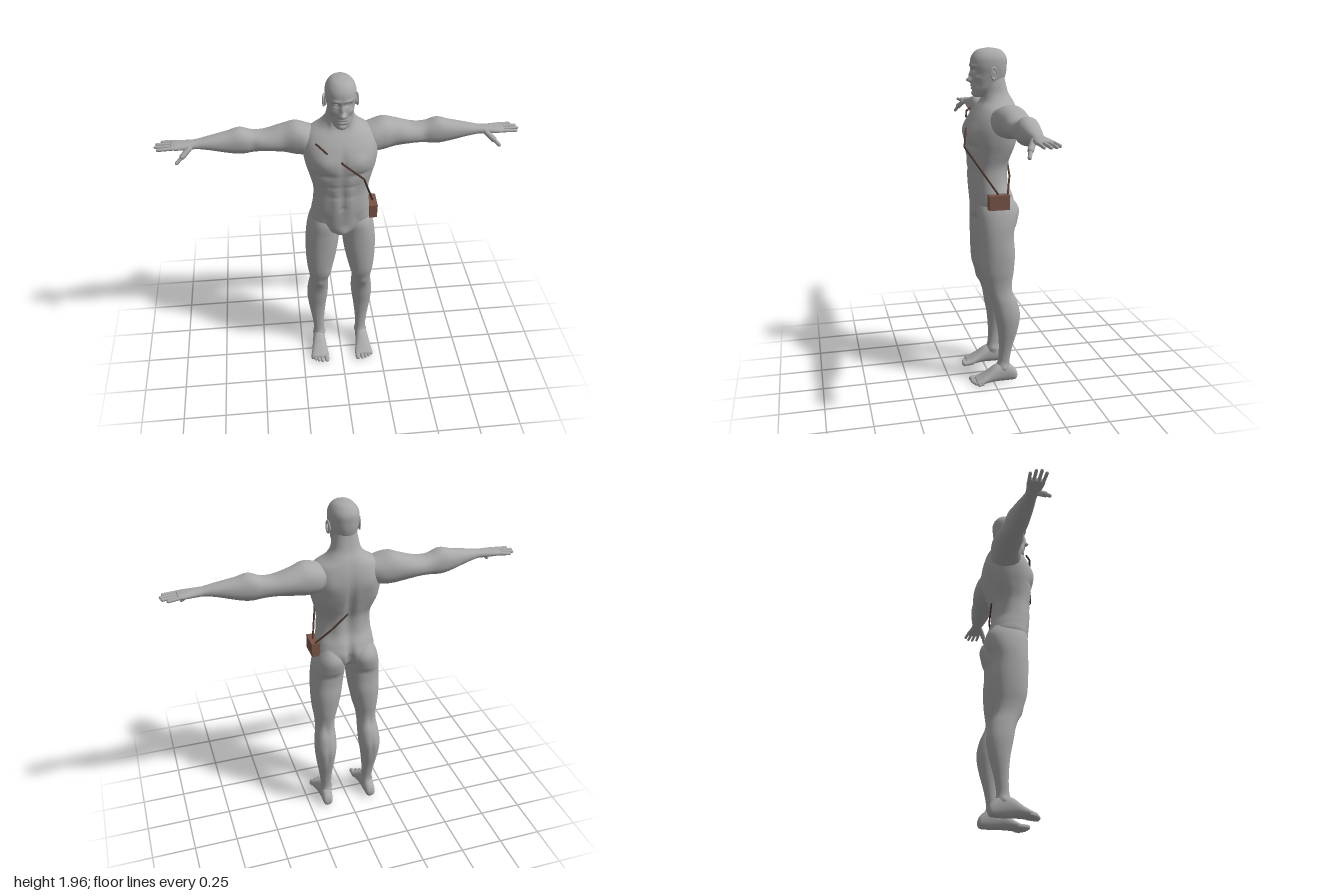
import * as THREE from 'three';

const skin = new THREE.MeshStandardMaterial({ color: 0xa9a9a9 });
skin.name = 'grey skin';
const leather = new THREE.MeshStandardMaterial({ color: 0x795548 });
leather.name = 'brown leather';
const strapBrown = new THREE.MeshStandardMaterial({ color: 0x4e3a32 });
strapBrown.name = 'dark strap';

// Catmull-Rom blend of four values
const blend = (a, b, c, d, t) =>
  0.5 * (2 * b + (c - a) * t + (2 * a - 5 * b + 4 * c - d) * t * t + (3 * b - a - 3 * c + d) * t * t * t);

// Axis layouts: rows run along y, x or z
const alongY = (t, a, b) => [a, t, b];
const alongX = (t, a, b) => [t, b, a];
const alongZ = (t, a, b) => [b, a, t];

// Closed smooth loft through rows [t, aMin, aMax, bMin, bMax], with rounded sections of power p
function loft(rows, place, { sides = 40, steps = 5, p = 2.2 } = {}) {
  const pos = [], index = [], n = (rows.length - 1) * steps;
  const at = (i) => rows[Math.min(Math.max(i, 0), rows.length - 1)];
  const round = (v) => Math.sign(v) * Math.abs(v) ** (2 / p);
  const mids = [];
  for (let j = 0; j <= n; j++) {
    const k = Math.min(Math.floor(j / steps), rows.length - 2), f = j / steps - k;
    const [t, a0, a1, b0, b1] = rows[0].map((_, c) => blend(at(k - 1)[c], at(k)[c], at(k + 1)[c], at(k + 2)[c], f));
    mids.push([t, (a0 + a1) / 2, (b0 + b1) / 2]);
    for (let i = 0; i < sides; i++) {
      const th = (i / sides) * Math.PI * 2;
      pos.push(...place(t, (a0 + a1) / 2 + (a1 - a0) / 2 * round(Math.cos(th)),
        (b0 + b1) / 2 + (b1 - b0) / 2 * round(Math.sin(th))));
    }
  }
  pos.push(...place(...mids[0]), ...place(...mids[n]));
  const first = (n + 1) * sides;
  for (let i = 0; i < sides; i++) {
    const q = (i + 1) % sides;
    for (let j = 0; j < n; j++) {
      const a = j * sides + i, b = j * sides + q;
      index.push(a, a + sides, b, b, a + sides, b + sides);
    }
    index.push(first, i, q, first + 1, n * sides + q, n * sides + i);
  }
  const g = new THREE.BufferGeometry();
  g.setAttribute('position', new THREE.Float32BufferAttribute(pos, 3));
  g.setIndex(index);
  g.computeVertexNormals();
  return g;
}

// Push the surface along its normals with symmetric soft bumps [x, y, z, sx, sy, sz, amount]
function sculpt(g, bumps) {
  const P = g.attributes.position, N = g.attributes.normal;
  for (let i = 0; i < P.count; i++) {
    const x = P.getX(i), y = P.getY(i), z = P.getZ(i);
    let d = 0;
    for (const [bx, by, bz, sx, sy, sz, amt] of bumps)
      d += amt * Math.exp(-(((Math.abs(x) - bx) / sx) ** 2) - ((y - by) / sy) ** 2 - ((z - bz) / sz) ** 2);
    P.setXYZ(i, x + N.getX(i) * d, y + N.getY(i) * d, z + N.getZ(i) * d);
  }
  g.computeVertexNormals();
  return g;
}

function mirrored(g) {
  const m = g.clone().scale(-1, 1, 1), ix = m.index.array;
  for (let i = 0; i < ix.length; i += 3) [ix[i], ix[i + 1]] = [ix[i + 1], ix[i]];
  m.computeVertexNormals();
  return m;
}

// Rounded rod between two points
function rod(p0, p1, r) {
  const a = new THREE.Vector3(...p0), b = new THREE.Vector3(...p1), d = b.clone().sub(a);
  const g = new THREE.CapsuleGeometry(r, d.length(), 5, 12);
  g.applyQuaternion(new THREE.Quaternion().setFromUnitVectors(new THREE.Vector3(0, 1, 0), d.normalize()));
  return g.translate(...a.add(b).multiplyScalar(0.5).toArray());
}

const ball = (x, y, z, rx, ry, rz) => new THREE.SphereGeometry(1, 20, 14).scale(rx, ry, rz).translate(x, y, z);

export function createModel() {
  const model = new THREE.Group();
  model.name = 'figure';
  const add = (name, geo, mat = skin) => {
    const m = new THREE.Mesh(geo, mat);
    m.name = name;
    model.add(m);
  };
  const pair = (name, geo) => {
    add('left ' + name, geo);
    add('right ' + name, mirrored(geo));
  };

  // Torso and neck: [y, half width, back z, front z]
  const torso = [
    [0.985, 0.04, -0.07, 0.06], [1.02, 0.11, -0.125, 0.09], [1.08, 0.168, -0.146, 0.102],
    [1.14, 0.167, -0.13, 0.107], [1.21, 0.158, -0.1, 0.11], [1.3, 0.155, -0.1, 0.112],
    [1.38, 0.174, -0.128, 0.122], [1.45, 0.194, -0.15, 0.13], [1.52, 0.205, -0.163, 0.124],
    [1.58, 0.2, -0.163, 0.103], [1.63, 0.175, -0.153, 0.07], [1.67, 0.115, -0.138, 0.04],
    [1.71, 0.082, -0.115, 0.03], [1.76, 0.07, -0.1, 0.03], [1.81, 0.06, -0.09, 0.03],
  ].map(([y, w, b, f]) => [y, -w, w, b, f]);
  add('torso', sculpt(loft(torso, alongY, { sides: 96, steps: 7, p: 2.3 }), [
    [0.09, 1.5, 0.11, 0.06, 0.05, 0.06, 0.014], // chest
    [0, 1.5, 0.12, 0.012, 0.07, 0.05, -0.008],
    [0.09, 1.425, 0.11, 0.06, 0.018, 0.06, -0.008],
    [0, 1.28, 0.11, 0.01, 0.11, 0.05, -0.006], // belly
    [0.04, 1.27, 0.11, 0.022, 0.12, 0.05, 0.006],
    [0.045, 1.35, 0.11, 0.04, 0.008, 0.05, -0.005],
    [0.045, 1.28, 0.11, 0.04, 0.008, 0.05, -0.005],
    [0, 1.2, 0.11, 0.01, 0.01, 0.04, -0.008],
    [0.09, 1.1, 0.09, 0.03, 0.05, 0.05, -0.008],
    [0, 1.03, 0.08, 0.03, 0.035, 0.05, 0.016],
    [0, 1.36, -0.14, 0.02, 0.19, 0.06, -0.018], // back
    [0.06, 1.25, -0.1, 0.03, 0.09, 0.05, 0.008],
    [0.11, 1.53, -0.15, 0.05, 0.06, 0.05, 0.008],
    [0.15, 1.42, -0.1, 0.04, 0.08, 0.06, 0.01],
    [0, 1.06, -0.14, 0.02, 0.07, 0.06, -0.03],
    [0.05, 1.71, 0.01, 0.015, 0.05, 0.04, 0.006],
  ]));

  // Head: [y, half width, back z, front z]
  const head = [
    [1.69, 0.025, 0.02, 0.075], [1.705, 0.043, -0.02, 0.088], [1.74, 0.061, -0.06, 0.094],
    [1.78, 0.069, -0.088, 0.096], [1.82, 0.076, -0.101, 0.096], [1.86, 0.082, -0.105, 0.101],
    [1.9, 0.08, -0.105, 0.098], [1.93, 0.066, -0.09, 0.082], [1.95, 0.043, -0.065, 0.055], [1.96, 0.006, -0.01, 0.002],
  ].map(([y, w, b, f]) => [y, -w, w, b, f]);
  add('head', sculpt(loft(head, alongY, { sides: 112, steps: 9 }), [
    [0, 1.785, 0.1, 0.013, 0.014, 0.06, 0.028], // nose
    [0, 1.815, 0.1, 0.01, 0.02, 0.06, 0.014],
    [0.013, 1.78, 0.1, 0.007, 0.008, 0.04, 0.007],
    [0.032, 1.84, 0.09, 0.017, 0.012, 0.04, -0.014], // eye sockets and brows
    [0.032, 1.863, 0.095, 0.026, 0.008, 0.04, 0.006],
    [0.045, 1.8, 0.08, 0.016, 0.014, 0.04, 0.005],
    [0.045, 1.76, 0.07, 0.015, 0.02, 0.04, -0.006],
    [0, 1.753, 0.095, 0.02, 0.006, 0.04, 0.006], // lips and chin
    [0, 1.746, 0.095, 0.024, 0.003, 0.04, -0.006],
    [0, 1.739, 0.095, 0.018, 0.006, 0.04, 0.006],
    [0, 1.725, 0.095, 0.02, 0.006, 0.04, -0.004],
    [0, 1.708, 0.088, 0.02, 0.012, 0.04, 0.006],
  ]));
  pair('eye', ball(0.032, 1.84, 0.071, 0.013, 0.009, 0.012));
  pair('ear', ball(0.081, 1.822, -0.012, 0.008, 0.03, 0.017).rotateX(0));
  pair('ear rim', new THREE.TorusGeometry(0.017, 0.005, 8, 24).scale(1, 1.75, 1)
    .rotateY(Math.PI / 2 + 0.25).translate(0.088, 1.823, -0.013));

  // Arm: [x, back z, front z, bottom y, top y]
  const arm = [
    [0.09, -0.12, 0.0, 1.53, 1.625], [0.17, -0.152, 0.03, 1.49, 1.65], [0.24, -0.16, 0.018, 1.485, 1.667],
    [0.31, -0.158, -0.004, 1.496, 1.647], [0.4, -0.152, -0.01, 1.508, 1.62], [0.47, -0.142, -0.014, 1.505, 1.622],
    [0.54, -0.138, -0.012, 1.497, 1.645], [0.61, -0.128, -0.014, 1.51, 1.628], [0.7, -0.108, -0.018, 1.535, 1.611],
    [0.77, -0.092, -0.024, 1.549, 1.597], [0.82, -0.095, -0.018, 1.55, 1.592], [0.88, -0.106, -0.011, 1.554, 1.588],
    [0.91, -0.106, -0.014, 1.561, 1.583],
  ];
  pair('arm', sculpt(loft(arm, alongX, { sides: 48 }), [
    [0.36, 1.56, -0.01, 0.06, 0.04, 0.04, 0.007],
    [0.33, 1.58, -0.16, 0.07, 0.04, 0.04, 0.006],
    [0.47, 1.57, -0.01, 0.025, 0.05, 0.05, -0.006],
  ]));
  const fingers = [[-0.097, -0.107, 0.958], [-0.073, -0.082, 0.985], [-0.047, -0.054, 0.991], [-0.022, -0.024, 0.977]];
  fingers.forEach(([z0, z1, x], i) => pair('finger ' + (i + 1), rod([0.885, 1.572, z0], [x, 1.567, z1], 0.009)));
  pair('thumb base', rod([0.81, 1.567, -0.025], [0.85, 1.533, 0.0], 0.016));
  pair('thumb', rod([0.85, 1.533, 0.0], [0.882, 1.503, 0.014], 0.01));

  // Leg: [y, inner x, outer x, back z, front z]
  const leg = [
    [0.03, 0.108, 0.168, -0.12, -0.01], [0.08, 0.102, 0.17, -0.11, -0.01], [0.13, 0.103, 0.167, -0.1, -0.03],
    [0.22, 0.1, 0.178, -0.115, -0.035], [0.33, 0.088, 0.196, -0.145, -0.027], [0.42, 0.076, 0.204, -0.159, -0.01],
    [0.5, 0.073, 0.198, -0.145, 0.005], [0.57, 0.075, 0.188, -0.12, 0.03], [0.63, 0.068, 0.19, -0.115, 0.052],
    [0.7, 0.05, 0.2, -0.123, 0.072], [0.8, 0.028, 0.207, -0.13, 0.08], [0.9, 0.013, 0.206, -0.125, 0.083],
    [0.98, 0.006, 0.2, -0.142, 0.085], [1.06, 0.012, 0.182, -0.15, 0.085], [1.13, 0.04, 0.15, -0.11, 0.06],
  ];
  pair('leg', sculpt(loft(leg, alongY, { sides: 48 }), [
    [0.09, 1.05, -0.14, 0.05, 0.06, 0.05, 0.008], // buttock and fold
    [0.1, 0.945, -0.13, 0.07, 0.02, 0.04, -0.008],
    [0.13, 0.59, 0.03, 0.025, 0.03, 0.03, 0.008], // kneecap
    [0.14, 0.58, -0.12, 0.02, 0.05, 0.03, -0.008],
    [0.08, 0.67, 0.04, 0.03, 0.04, 0.04, 0.007],
    [0.14, 0.4, -0.16, 0.012, 0.08, 0.03, -0.006],
    [0.1, 0.1, -0.06, 0.015, 0.018, 0.02, 0.008], // ankle bones
    [0.17, 0.09, -0.06, 0.015, 0.018, 0.02, 0.008],
  ]));

  // Foot: [z, bottom y, top y, inner x, outer x]
  const foot = [
    [-0.146, 0.02, 0.045, 0.128, 0.155], [-0.132, 0.003, 0.075, 0.112, 0.17], [-0.08, 0, 0.115, 0.104, 0.174],
    [-0.02, 0.002, 0.11, 0.1, 0.18], [0.04, 0.002, 0.068, 0.093, 0.19], [0.08, 0, 0.043, 0.086, 0.197],
    [0.108, 0.004, 0.03, 0.09, 0.194],
  ];
  pair('foot', loft(foot, alongZ));
  [[0.101, 0.126, 0.015], [0.13, 0.126, 0.012], [0.152, 0.12, 0.011], [0.172, 0.11, 0.0105], [0.19, 0.097, 0.01]]
    .forEach(([x, z, r], i) => pair('toe ' + (i + 1), rod([x, r + 0.004, 0.075], [x, r, z], r)));

  // Hip bag with a lid, and its shoulder strap
  add('bag', new THREE.BoxGeometry(0.046, 0.08, 0.118).translate(0.184, 1.118, -0.018), leather);
  add('bag lid', new THREE.BoxGeometry(0.05, 0.006, 0.122).translate(0.184, 1.159, -0.018), leather);
  const strap = (name, ...pts) => pts.slice(1).forEach((p, i) => add(name, rod(pts[i], p, 0.0055), strapBrown));
  strap('front strap', [0.185, 1.165, -0.015], [0.11, 1.428, 0.16], [0, 1.508, 0.128], [-0.03, 1.53, 0.09]);
  strap('chest strap', [-0.085, 1.568, 0.108], [-0.115, 1.598, 0.1], [-0.138, 1.61, 0.075]);
  strap('back strap', [0.185, 1.165, -0.07], [0.1, 1.25, -0.102], [0.01, 1.335, -0.108]);
  return model;
}
